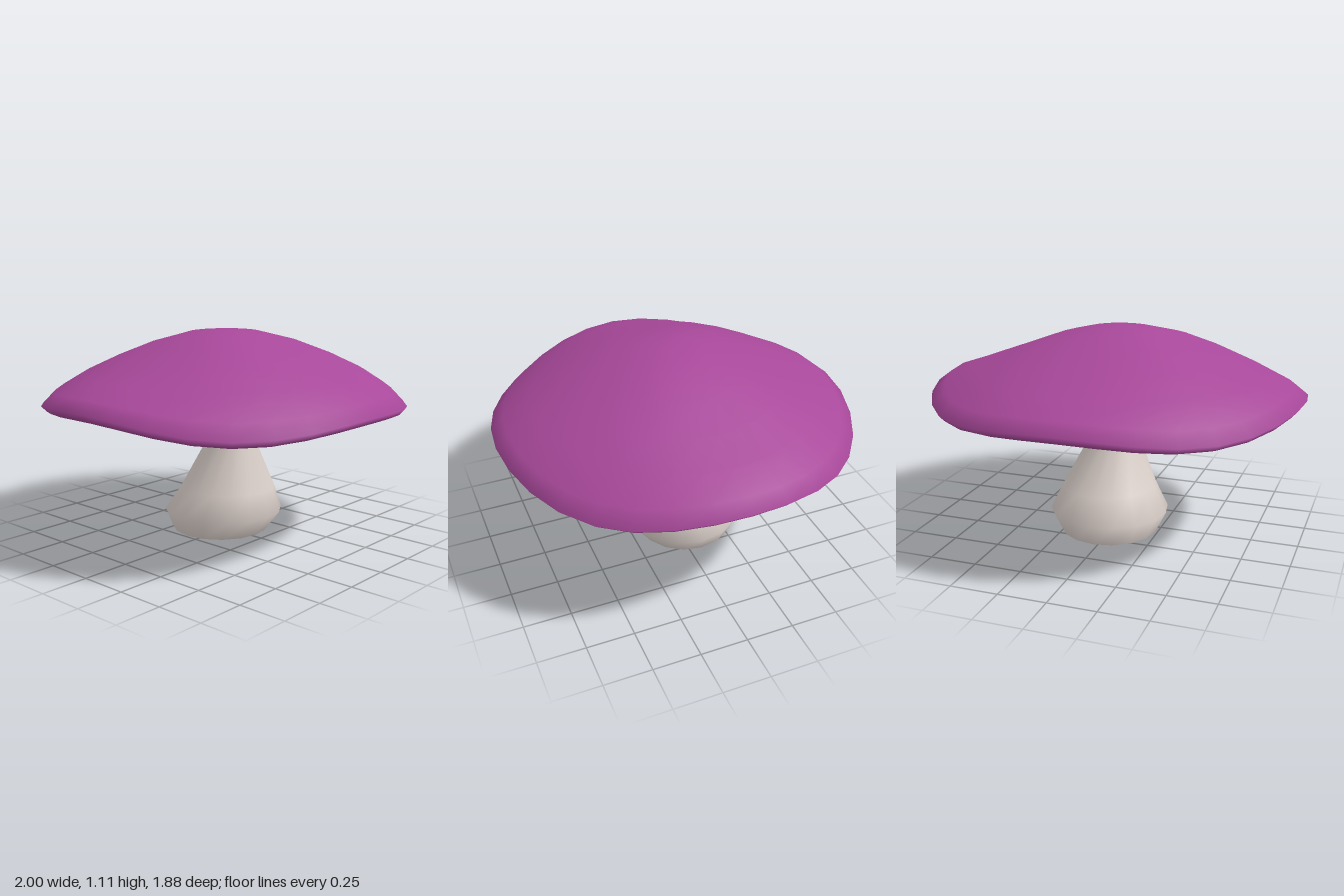
import * as THREE from 'three';
import { mergeVertices } from 'three/addons/utils/BufferGeometryUtils.js';

// Skin closed rings, listed from bottom to top; point(i, angle) gives [x, y, z].
function loft(ringCount, sides, point) {
  const positions = [], index = [];
  for (let i = 0; i < ringCount; i++) {
    for (let j = 0; j < sides; j++) {
      positions.push(...point(i, (j / sides) * Math.PI * 2));
      if (i === ringCount - 1) continue;
      const a = i * sides + j, b = i * sides + ((j + 1) % sides);
      index.push(a, a + sides, b, b, a + sides, b + sides);
    }
  }
  let geometry = new THREE.BufferGeometry();
  geometry.setAttribute('position', new THREE.Float32BufferAttribute(positions, 3));
  geometry.setIndex(index);
  geometry = mergeVertices(geometry, 1e-5);
  geometry.computeVertexNormals();
  return geometry;
}

// Height of the rim's waviness: raised at the sides, drooping on the diagonals.
const wave = (t) => 0.029 * Math.cos(4 * t) + 0.0125 * Math.cos(2 * t) - 0.015 * Math.sin(t);

// Cap surface from [radius, height, wave strength] profile points.
function capSurface(profile) {
  return loft(profile.length, 32, (i, t) => {
    const [r, y, w] = profile[i];
    const shift = -0.02 * (1 - r);
    return [shift + r * Math.cos(t), y + w * wave(t), 0.94 * r * Math.sin(t)];
  });
}

export function createModel() {
  const purple = new THREE.MeshStandardMaterial({ color: 0xa8489a });
  purple.name = 'cap purple';
  const brown = new THREE.MeshStandardMaterial({ color: 0x693840 });
  brown.name = 'gill brown';
  const cream = new THREE.MeshStandardMaterial({ color: 0xdacfc9 });
  cream.name = 'stem cream';

  const group = new THREE.Group();
  group.name = 'mushroom';
  const add = (name, geometry, material) => {
    const mesh = new THREE.Mesh(geometry, material);
    mesh.name = name;
    group.add(mesh);
  };

  // Domed cap with its rolled lip
  const lip = [0.925, 0.7, 0.85];
  add('cap', capSurface([
    lip, [0.97, 0.718, 0.95], [1, 0.749, 1], [0.93, 0.811, 0.75], [0.78, 0.888, 0.15],
    [0.6, 0.964, -0.15], [0.4, 1.04, -0.15], [0.2, 1.094, 0], [0, 1.112, 0],
  ]), purple);

  // Underside, nearly flat
  add('capUnderside', capSurface([
    [0, 0.672, 0], [0.3, 0.672, 0.05], [0.6, 0.675, 0.15], [0.8, 0.682, 0.45], lip,
  ]), brown);

  // Bulbous, slightly leaning stem: [height, radius, centre x, centre z]
  const stem = [
    [0, 0.262, 0.025, -0.07], [0.11, 0.322, 0.032, -0.05], [0.24, 0.257, 0.04, -0.026],
    [0.5, 0.135, 0.025, 0.01], [0.7, 0.098, 0.04, 0.01],
  ];
  add('stem', loft(stem.length, 16, (i, t) => {
    const [y, r, x, z] = stem[i];
    return [x + r * Math.cos(t), y, z + r * Math.sin(t)];
  }), cream);

  // Flat foot of the stem
  const foot = new THREE.CircleGeometry(0.262, 16).rotateX(Math.PI / 2).translate(0.025, 0, -0.07);
  add('stemFoot', foot, cream);

  return group;
}
